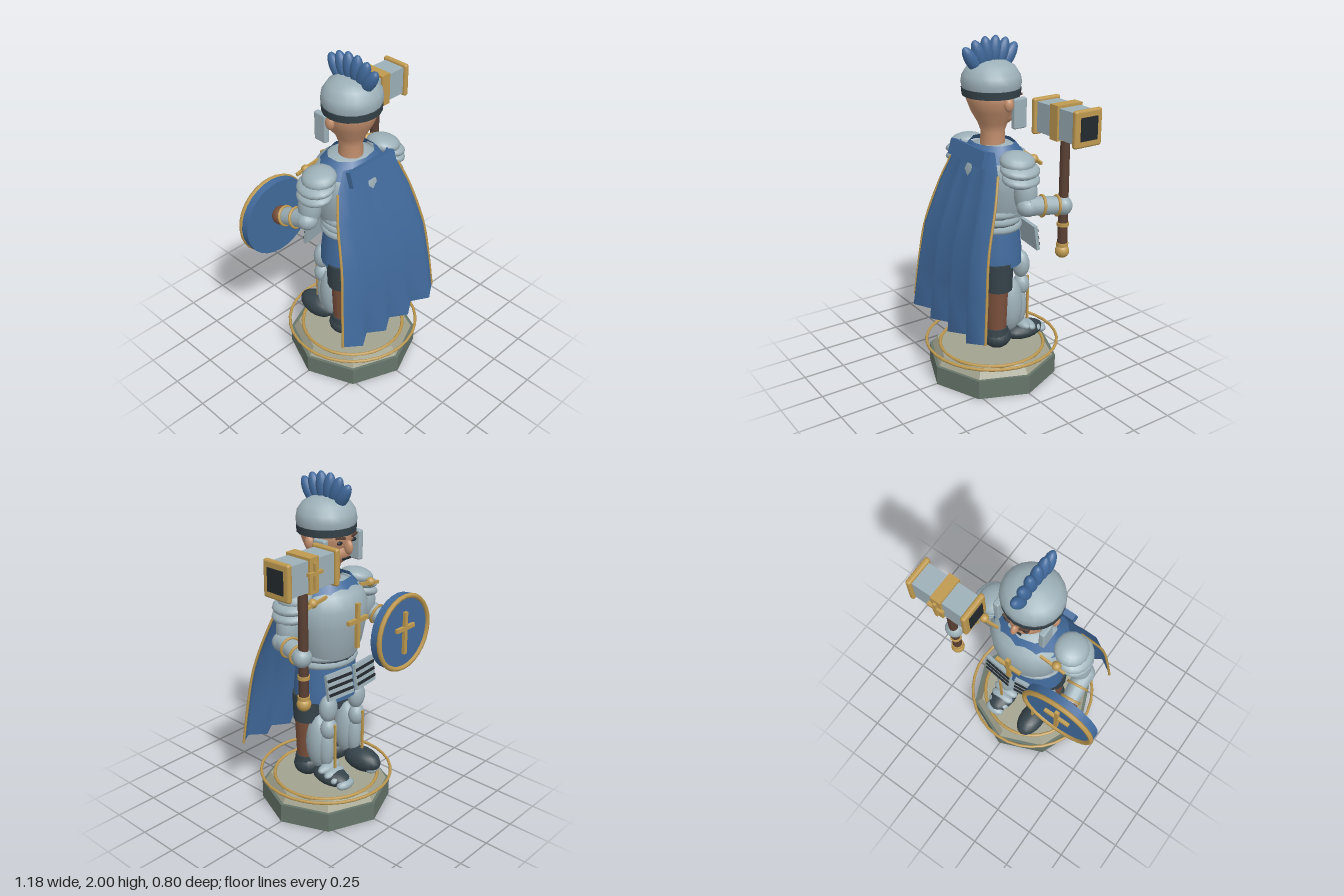
import * as THREE from 'three';
import { RoundedBoxGeometry } from 'three/addons/geometries/RoundedBoxGeometry.js';

const mat = (name, color, extra = {}) =>
  Object.assign(new THREE.MeshStandardMaterial({ color, ...extra }), { name });

export function createModel() {
  const steel = mat('steel', 0x9db0b8), gold = mat('gold', 0xbf9a50);
  const blue = mat('blue cloth', 0x416a9c, { side: THREE.DoubleSide });
  const iron = mat('dark iron', 0x35434a), skin = mat('skin', 0xc4906e);
  const leather = mat('leather', 0x7a503c), wood = mat('dark wood', 0x5a4034);
  const stone = mat('base stone', 0x66756a, { flatShading: true });
  const slab = mat('pale stone', 0xa3a38f, { flatShading: true });
  const black = mat('black', 0x23292e);

  const model = new THREE.Group();
  model.name = 'knight';
  let target = model;
  const add = (name, geo, m, x = 0, y = 0, z = 0) => {
    const mesh = new THREE.Mesh(geo, m);
    mesh.name = name;
    mesh.position.set(x, y, z);
    target.add(mesh);
    return mesh;
  };
  const group = (name, build) => {
    const outer = target, g = new THREE.Group();
    g.name = name;
    outer.add(g);
    target = g;
    build(g);
    target = outer;
    return g;
  };
  const ball = (name, m, x, y, z, rx, ry = rx, rz = rx) => {
    const b = add(name, new THREE.SphereGeometry(1, 16, 10), m, x, y, z);
    b.scale.set(rx, ry, rz);
    return b;
  };
  const box = (name, m, x, y, z, w, h, d) => add(name, new THREE.BoxGeometry(w, h, d), m, x, y, z);
  const tube = (name, m, x, y, z, rTop, rBottom, h, sides = 14) =>
    add(name, new THREE.CylinderGeometry(rTop, rBottom, h, sides), m, x, y, z);
  const lathe = (name, m, profile, z, sx, sz) => {
    const l = add(name, new THREE.LatheGeometry(profile.map(p => new THREE.Vector2(...p)), 20), m, 0, 0, z);
    l.scale.set(sx, 1, sz);
    return l;
  };
  const hoop = (name, m, y, r, t, sx = 1, sz = 1, sides = 32) => {
    const h = add(name, new THREE.TorusGeometry(r, t, 6, sides).rotateX(Math.PI / 2), m, 0, y, 0);
    h.scale.set(sx, 1, sz);
    return h;
  };
  // Tapered limb between two points, with an optional gold band along it
  const limb = (name, m, a, b, ra, rb, bands = []) => {
    const A = new THREE.Vector3(...a), B = new THREE.Vector3(...b), dir = B.clone().sub(A);
    const turn = new THREE.Quaternion().setFromUnitVectors(new THREE.Vector3(0, 1, 0), dir.clone().normalize());
    const c = A.clone().lerp(B, 0.5);
    tube(name, m, c.x, c.y, c.z, rb, ra, dir.length()).quaternion.copy(turn);
    for (const t of bands) {
      const p = A.clone().lerp(B, t), r = ra + (rb - ra) * t + 0.004;
      const ring = add('armBand', new THREE.TorusGeometry(r, 0.008, 6, 16).rotateX(Math.PI / 2), gold, p.x, p.y, p.z);
      ring.quaternion.copy(turn);
    }
  };
  const cross = (x, y, z, w, h, t) => group('goldCross', () => {
    box('crossUpright', gold, x, y, z, t, h, 0.02);
    box('crossBar', gold, x, y + h * 0.12, z, w, t, 0.02);
  });

  // Octagonal base with gold rings
  group('base', g => {
    g.position.x = 0.005;
    tube('plinth', stone, 0, 0.058, 0, 0.386, 0.386, 0.116, 8);
    tube('plinthTop', slab, 0, 0.143, 0, 0.335, 0.368, 0.055, 8);
    hoop('innerRing', gold, 0.172, 0.31, 0.01);
    hoop('outerRing', gold, 0.197, 0.391, 0.009);
  });

  // Legs, armour plates and boots
  for (const s of [-1, 1]) group(s > 0 ? 'leftLeg' : 'rightLeg', g => {
    g.position.x = s * 0.12;
    tube('breeches', iron, 0, 0.66, 0.035, 0.09, 0.085, 0.17);
    tube('trouserLeg', leather, 0, 0.45, 0.045, 0.072, 0.058, 0.36);
    ball('greave', steel, 0, 0.45, -0.05, 0.07, 0.17, 0.08);
    ball('shinPlate', steel, 0, 0.43, -0.11, 0.048, 0.13, 0.05);
    ball('kneePlate', steel, 0, 0.56, -0.13, 0.052, 0.065, 0.048);
    ball('thighPlate', steel, 0, 0.69, -0.125, 0.058, 0.085, 0.05);
    box('shinRidge', gold, 0, 0.46, -0.178, 0.014, 0.28, 0.012);
    ball('bootHeel', iron, 0, 0.268, 0.04, 0.082, 0.068, 0.085);
    tube('bootCuff', iron, 0, 0.3, 0.045, 0.068, 0.078, 0.07);
    const lift = s < 0 ? 0.02 : 0;
    ball('bootToe', iron, 0, 0.258 + lift, -0.15 - lift * 1.5, 0.078, 0.052 + lift, 0.13);
    for (let i = 0; i < 4; i++)
      ball('toePlate', steel, 0, 0.305 - i * 0.02, -0.13 - i * 0.043,
        s > 0 ? 0.085 - i * 0.007 : 0.05, 0.03, 0.037);
  });

  // Skirt, belts and breastplate
  lathe('skirt', blue, [[0.185, 0.72], [0.182, 0.8], [0.165, 0.95]], 0.005, 1.1, 0.92);
  tube('waist', iron, 0, 0.99, 0, 0.155, 0.16, 0.12).scale.x = 1.1;
  for (const y of [0.945, 0.99, 1.035]) hoop('beltBand', steel, y, 0.155, 0.021, 1.12, 0.95, 24);
  lathe('breastplate', steel, [[0.165, 0.98], [0.195, 1.06], [0.22, 1.18], [0.225, 1.28],
    [0.19, 1.36], [0.1, 1.41], [0, 1.42]], -0.03, 1.02, 0.85);
  cross(0, 1.19, -0.232, 0.16, 0.26, 0.024);

  // Hip plates with dark slots
  for (const s of [-1, 1]) group('hipPlate', g => {
    g.position.set(s * 0.105, 0.86, -0.195);
    g.rotation.set(0.15, s * -0.12, 0);
    box('plate', steel, 0, 0, 0, 0.185, 0.15, 0.02);
    for (const y of [-0.042, 0, 0.042]) box('slot', black, 0, y, -0.012, 0.175, 0.016, 0.008);
  });

  // Shoulder armour in overlapping layers
  for (const s of [-1, 1]) group('pauldron', () => {
    const layers = [[0.25, 1.365, 0.095, 0.05, 0.1], [0.275, 1.325, 0.1, 0.04, 0.115], [0.285, 1.275, 0.095, 0.04, 0.11]];
    for (const [x, y, rx, ry, rz] of layers) ball('shoulderPlate', steel, s * x, y, 0, rx, ry, rz).rotation.z = s * -0.2;
    ball('shoulderStud', gold, s * 0.235, 1.355, -0.12, 0.026);
    box('shoulderStrap', gold, s * 0.215, 1.355, -0.128, 0.16, 0.018, 0.014).rotation.z = s * -0.15;
  });

  // Arms
  for (const s of [-1, 1]) group(s > 0 ? 'leftArm' : 'rightArm', () => {
    ball('upperArm', steel, s * 0.315, 1.2, -0.01, 0.065, 0.12, 0.065);
    ball('elbow', steel, s * 0.345, 1.135, 0, 0.06, 0.055, 0.06);
    const hand = s > 0 ? [0.4, 1.12, -0.2] : [-0.365, 1.08, -0.19];
    limb('forearm', steel, [s * 0.345, 1.14, 0], hand, 0.056, 0.048, [0.4, 0.82]);
    ball('gauntlet', s > 0 ? steel : leather, hand[0], hand[1], hand[2], 0.055, 0.055, 0.05);
  });

  // Head and face
  lathe('head', skin, [[0.072, 1.38], [0.067, 1.48], [0.085, 1.53], [0.125, 1.6], [0.148, 1.66],
    [0.15, 1.72], [0.1, 1.78]], -0.01, 1, 1);
  ball('jaw', skin, 0, 1.585, -0.055, 0.1, 0.075, 0.095);
  ball('nose', skin, 0, 1.62, -0.16, 0.018, 0.04, 0.028);
  box('mouth', black, 0, 1.555, -0.146, 0.06, 0.01, 0.009);
  for (const s of [-1, 1]) {
    ball('ear', skin, s * 0.148, 1.65, -0.015, 0.024, 0.04, 0.028);
    ball('eye', black, s * 0.055, 1.65, -0.147, 0.02, 0.011, 0.009);
    box('brow', wood, s * 0.055, 1.678, -0.153, 0.055, 0.012, 0.012).rotation.set(0, s * -0.35, s * 0.1);
    add('cheekGuard', new RoundedBoxGeometry(0.035, 0.17, 0.085, 2, 0.01), steel, s * 0.14, 1.595, -0.088);
  }

  // Helmet with a fan of plumes
  lathe('helmet', steel, [[0.163, 1.715], [0.172, 1.755], [0.165, 1.795], [0.135, 1.84],
    [0.08, 1.868], [0, 1.877]], 0, 1, 0.96);
  tube('helmetBand', iron, 0, 1.705, 0, 0.17, 0.166, 0.042, 20).scale.z = 0.96;
  for (let i = 0; i < 6; i++) {
    const a = (i - 2.5) * 0.235;
    ball('plume', blue, 0, 1.7 + 0.218 * Math.cos(a), 0.005 + 0.218 * Math.sin(a), 0.033, 0.085, 0.036).rotation.x = a;
  }

  // Collar around the neck, with a folded flap behind
  const collar = add('collar', new THREE.CylinderGeometry(0.13, 0.2, 0.085, 10, 1, true), blue, 0, 1.382, -0.01);
  collar.scale.set(1.12, 1, 0.9);
  box('collarFlap', blue, 0, 1.375, 0.15, 0.34, 0.09, 0.035).rotation.x = -0.3;

  // Cape: rows of height, half width, depth and fold size
  const rows = [[1.41, 0.17, 0.125, 0], [1.3, 0.235, 0.15, 0.006], [1.15, 0.285, 0.2, 0.012],
    [0.89, 0.335, 0.28, 0.02], [0.64, 0.365, 0.312, 0.026], [0.41, 0.385, 0.335, 0.032]];
  const cols = 8, pos = [], idx = [], edges = [[], []];
  rows.forEach(([y, w, z, fold], r) => {
    for (let c = 0; c <= cols; c++) {
      const u = c / cols * 2 - 1, drop = r === rows.length - 1 ? 0.025 * (1 - u * u) : 0;
      const p = [u * w + 0.006, y - drop, z + (c % 2 ? fold : -fold) - 0.03 * u ** 4 * (1 - r / 5)];
      pos.push(...p);
      if (c === 0 || c === cols) edges[c ? 1 : 0].push(new THREE.Vector3(...p));
      if (r && c) {
        const k = r * (cols + 1) + c, up = k - cols - 1;
        idx.push(up - 1, k - 1, k, up - 1, k, up);
      }
    }
  });
  const capeGeo = new THREE.BufferGeometry();
  capeGeo.setAttribute('position', new THREE.Float32BufferAttribute(pos, 3));
  capeGeo.setIndex(idx);
  capeGeo.computeVertexNormals();
  add('cape', capeGeo, blue);
  for (const e of edges)
    add('capeTrim', new THREE.TubeGeometry(new THREE.CatmullRomCurve3(e.slice(1)), 16, 0.008, 5), gold);

  // Round shield
  group('shield', g => {
    g.position.set(-0.358, 1.05, 0);
    tube('shieldDisc', blue, 0, 0, -0.247, 0.23, 0.23, 0.055, 28).rotation.x = Math.PI / 2;
    add('shieldRim', new THREE.TorusGeometry(0.222, 0.015, 6, 28), gold, 0, 0, -0.276);
    cross(0, 0, -0.284, 0.16, 0.26, 0.024);
  });

  // War hammer
  group('hammer', g => {
    g.position.set(0.397, 0, -0.205);
    tube('shaft', wood, 0, 1.19, 0, 0.026, 0.028, 0.66, 10);
    ball('pommel', gold, 0, 0.85, 0, 0.04);
    for (const y of [0.89, 1.01]) tube('shaftRing', gold, 0, y, 0, 0.034, 0.034, 0.02, 12);
    box('hammerHead', steel, 0, 1.59, 0, 0.35, 0.165, 0.142);
    box('headBand', gold, 0, 1.592, 0, 0.064, 0.19, 0.166);
    for (const s of [-1, 1]) {
      add('headFrame', new RoundedBoxGeometry(0.032, 0.2, 0.178, 2, 0.013), gold, s * 0.172, 1.59, 0);
      box('strikingFace', black, s * 0.188, 1.59, 0, 0.009, 0.125, 0.11);
    }
    cross(0, 1.59, -0.088, 0.1, 0.14, 0.018);
  });

  return model;
}
